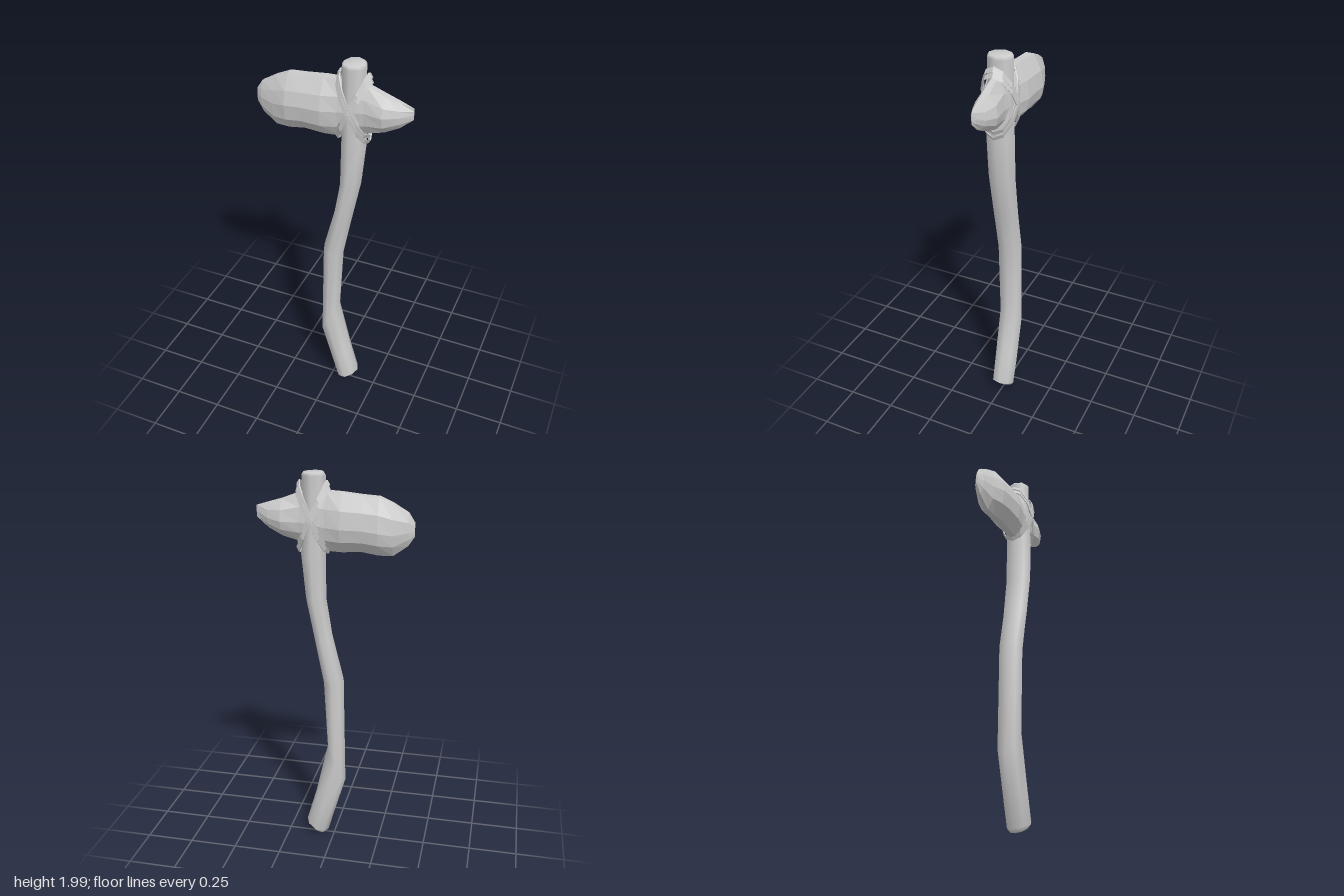
import * as THREE from 'three';

// Skin a list of equal-sized rings of [x, y, z] points; either capped or joined into a loop.
function loft(rings, closed = false) {
  const n = rings[0].length, m = rings.length;
  const pos = rings.flat(2), idx = [];
  for (let i = 0; i < (closed ? m : m - 1); i++) {
    for (let j = 0; j < n; j++) {
      const k = (j + 1) % n, a = i * n, b = ((i + 1) % m) * n;
      idx.push(a + j, b + j, a + k, a + k, b + j, b + k);
    }
  }
  if (!closed) {
    const cap = (ring, start, flip) => {
      const c = pos.length / 3;
      for (let q = 0; q < 3; q++) pos.push(ring.reduce((s, p) => s + p[q], 0) / n);
      for (let j = 0; j < n; j++) {
        const k = (j + 1) % n;
        if (flip) idx.push(c, start + k, start + j);
        else idx.push(c, start + j, start + k);
      }
    };
    cap(rings[0], 0, false);
    cap(rings[m - 1], (m - 1) * n, true);
  }
  const g = new THREE.BufferGeometry();
  g.setAttribute('position', new THREE.Float32BufferAttribute(pos, 3));
  g.setIndex(idx);
  g.computeVertexNormals();
  return g;
}

function part(name, geometry, flatShading) {
  const mesh = new THREE.Mesh(geometry,
    new THREE.MeshStandardMaterial({ color: 0xcccccc, flatShading }));
  mesh.name = name;
  return mesh;
}

// Crooked handle: [left x, left y, right x, right y, half depth] per ring
function handle() {
  const rows = [
    [0.05, 0.012, 0.13, 0.06, 0.045],
    [0.032, 0.03, 0.152, 0.085, 0.062],
    [0.005, 0.13, 0.1, 0.27, 0.064],
    [-0.062, 0.36, 0.035, 0.555, 0.064],
    [-0.05, 0.95, 0.055, 0.92, 0.066],
    [0.008, 1.18, 0.1, 1.155, 0.069],
    [0.04, 1.38, 0.145, 1.38, 0.072],
    [0.042, 1.6, 0.167, 1.6, 0.073],
    [0.045, 1.8, 0.155, 1.8, 0.066],
    [0.04, 1.985, 0.16, 1.985, 0.065],
    [0.05, 2.0, 0.15, 2.0, 0.056],
  ];
  const rings = rows.map(([lx, ly, rx, ry, d]) =>
    Array.from({ length: 8 }, (_, j) => {
      const a = (j / 8) * Math.PI * 2, t = (1 + Math.cos(a)) / 2;
      return [lx + (rx - lx) * t, ly + (ry - ly) * t, d * Math.sin(a)];
    }));
  return part('handle', loft(rings), false);
}

// Chipped stone head: [x, bottom, top, half depth] per section
function stoneHead() {
  const rows = [
    [-0.39, 1.71, 1.78, 0.006],
    [-0.36, 1.665, 1.825, 0.026],
    [-0.29, 1.615, 1.865, 0.052],
    [-0.22, 1.615, 1.895, 0.074],
    [-0.14, 1.628, 1.9, 0.077],
    [-0.04, 1.622, 1.91, 0.08],
    [0.04, 1.625, 1.915, 0.062],
    [0.165, 1.665, 1.905, 0.053],
    [0.255, 1.69, 1.87, 0.061],
    [0.325, 1.725, 1.85, 0.037],
    [0.386, 1.775, 1.832, 0.003],
  ];
  // faceted section: [depth, height] as fractions, front to back over the top
  const section = [[1, 0.5], [0.8, 0.75], [0.26, 1], [-0.3, 1],
    [-0.85, 0.72], [-1, 0.42], [-0.82, 0.2], [-0.2, 0], [0.25, 0], [0.85, 0.22]];
  const rings = rows.map(([x, b, t, d]) =>
    section.map(([w, h]) => [x, b + (t - b) * h, w * d]));
  return part('stoneHead', loft(rings), true);
}

// Flat cord wound diagonally round handle and head
function binding(name, slope, shift, grow) {
  const n = 12, rings = [];
  for (let i = 0; i < n; i++) {
    const a = (i / n) * Math.PI * 2, c = Math.cos(a), s = Math.sin(a);
    rings.push([[1, 1], [1, -1], [-1, -1], [-1, 1]].map(([r, h]) => {
      const k = r * 0.003 + grow;
      return [0.102 + (0.073 + k) * c - slope * h * 0.006,
        1.785 + shift + slope * 0.155 * c + h * 0.01, (0.083 + k) * s];
    }));
  }
  return part(name, loft(rings, true), true);
}

export function createModel() {
  const group = new THREE.Group();
  group.name = 'stoneAxe';
  group.add(handle(), stoneHead());
  // two strands in each direction make the crossed lashing
  for (const [side, slope] of [['Rising', 1], ['Falling', -1]]) {
    group.add(binding('binding' + side + 'Upper', slope, 0.013, 0));
    group.add(binding('binding' + side + 'Lower', slope, -0.013, 0.004));
  }
  return group;
}
